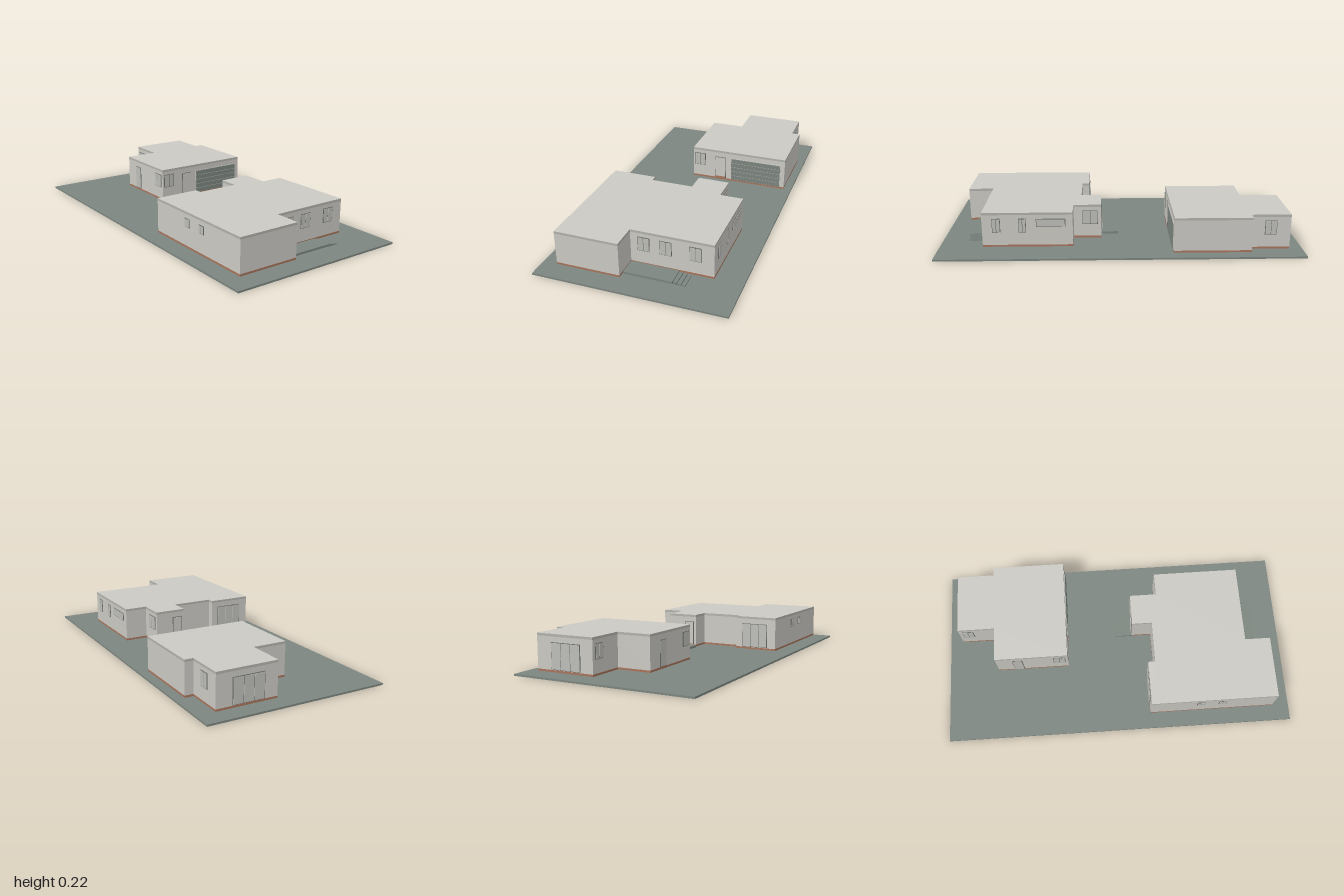
import * as THREE from 'three';

const mat = (name, color) => {
  const m = new THREE.MeshStandardMaterial({ color });
  m.name = name;
  return m;
};

export function createModel() {
  const root = new THREE.Group();
  root.name = 'houseLot';

  const lawn = mat('grey green', 0x7c857f);
  const wall = mat('warm white', 0xcbc9c3);
  const fascia = mat('fascia grey', 0xb2b2ab);
  const brick = mat('terracotta', 0xa8735a);
  const glass = mat('window grey', 0xbdbdb8);
  const frame = mat('frame grey', 0x6c6f6b);

  const box = (parent, name, m, x0, x1, y0, y1, z0, z1) => {
    const b = new THREE.Mesh(new THREE.BoxGeometry(x1 - x0, y1 - y0, z1 - z0), m);
    b.position.set((x0 + x1) / 2, (y0 + y1) / 2, (z0 + z1) / 2);
    b.name = name;
    parent.add(b);
    return b;
  };

  // Upright prism over a footprint given as [x, z] corners
  const prism = (parent, name, m, points, y0, y1) => {
    const shape = new THREE.Shape(points.map(([x, z]) => new THREE.Vector2(x, -z)));
    const geo = new THREE.ExtrudeGeometry(shape, { depth: y1 - y0, bevelEnabled: false });
    geo.rotateX(-Math.PI / 2);
    const p = new THREE.Mesh(geo, m);
    p.position.y = y0;
    p.name = name;
    parent.add(p);
  };

  const house = (name, points) => {
    const g = new THREE.Group();
    g.name = name;
    prism(g, 'baseSlab', brick, points, 0.022, 0.033);
    prism(g, 'walls', wall, points, 0.033, 0.205);
    prism(g, 'roof', [wall, fascia], points, 0.205, 0.218);
    root.add(g);
    return g;
  };

  // Thin fitting on a wall: side is the way it faces, at is the wall plane, a to b its span
  const turns = { front: 0, right: Math.PI / 2, back: Math.PI, left: -Math.PI / 2 };
  const fitting = (parent, name, side, at, a, b, y0, y1, panes = 2, pane = glass) => {
    const g = new THREE.Group();
    g.name = name;
    const w = b - a, gap = 0.003, step = (w - gap) / panes;
    box(g, 'frame', frame, -w / 2, w / 2, y0, y1, 0, 0.003);
    for (let i = 0; i < panes; i++) {
      const x = -w / 2 + gap + i * step;
      box(g, 'pane', pane, x, x + step - gap, y0 + gap, y1 - gap, 0.001, 0.005);
    }
    g.rotation.y = turns[side];
    const mid = (a + b) / 2;
    if (side === 'front' || side === 'back') g.position.set(mid, 0, at);
    else g.position.set(at, 0, mid);
    parent.add(g);
  };

  box(root, 'ground', lawn, -1, 1, 0, 0.01, -0.52, 0.52);

  // Smaller house with the garage
  const A = house('garageHouse', [
    [-0.705, 0.11], [-0.285, 0.11], [-0.285, -0.478], [-0.705, -0.478],
    [-0.705, -0.43], [-0.92, -0.43], [-0.92, -0.085], [-0.705, -0.085],
  ]);
  fitting(A, 'frontDoor', 'front', 0.11, -0.61, -0.55, 0.035, 0.176, 1);
  fitting(A, 'frontWindow', 'front', 0.11, -0.37, -0.3, 0.105, 0.185);
  fitting(A, 'wingFrontWindow', 'front', -0.085, -0.9, -0.835, 0.105, 0.185);
  fitting(A, 'wingBackWindow', 'back', -0.43, -0.845, -0.78, 0.105, 0.185);
  fitting(A, 'slidingDoor', 'left', -0.92, -0.34, -0.16, 0.035, 0.176, 3);
  fitting(A, 'sideWindow', 'right', -0.285, 0.03, 0.1, 0.105, 0.185);
  fitting(A, 'sideDoor', 'right', -0.285, -0.105, -0.035, 0.035, 0.176, 1, wall);
  box(A, 'threshold', brick, -0.284, -0.279, 0.035, 0.045, -0.1, -0.04);

  // Garage door in five horizontal panels
  box(A, 'garageDoorFrame', wall, -0.286, -0.282, 0.033, 0.178, -0.455, -0.135);
  for (let i = 0; i < 5; i++) {
    const y = 0.035 + i * 0.0285;
    box(A, 'garagePanel', lawn, -0.284, -0.279, y, y + 0.026, -0.45, -0.14);
  }

  // Larger house
  const B = house('mainHouse', [
    [0.26, -0.37], [0.755, -0.37], [0.755, 0.08], [0.9, 0.08], [0.9, 0.432],
    [0.18, 0.432], [0.18, 0.18], [0.22, 0.18], [0.22, -0.06], [0.105, -0.06],
    [0.105, -0.24], [0.26, -0.24],
  ]);
  for (const x of [0.465, 0.59]) fitting(B, 'frontWindow', 'front', 0.432, x - 0.022, x + 0.022, 0.137, 0.183);
  for (const z of [0.008, -0.112, -0.272]) fitting(B, 'sideWindow', 'right', 0.755, z - 0.033, z + 0.033, 0.105, 0.185);
  fitting(B, 'backWindow', 'back', -0.37, 0.655, 0.7, 0.105, 0.185);
  fitting(B, 'backWindow', 'back', -0.37, 0.515, 0.555, 0.105, 0.185);
  fitting(B, 'wideBackWindow', 'back', -0.37, 0.3, 0.46, 0.137, 0.183, 1);
  fitting(B, 'entryWindow', 'back', -0.24, 0.125, 0.21, 0.105, 0.185);
  fitting(B, 'entryDoor', 'left', 0.105, -0.135, -0.075, 0.035, 0.176, 1, wall);
  fitting(B, 'slidingDoor', 'left', 0.18, 0.22, 0.38, 0.035, 0.176, 3);

  // Porch, patio and steps
  box(B, 'porch', lawn, 0.01, 0.105, 0.017, 0.03, -0.165, -0.06);
  box(B, 'patio', lawn, 0.755, 0.858, 0.017, 0.029, -0.185, 0.08);
  for (let i = 0; i < 3; i++) {
    const z = -0.207 - i * 0.022;
    box(B, 'step', lawn, 0.757, 0.852, 0.012, 0.026 - i * 0.004, z, z + 0.02);
  }

  return root;
}
